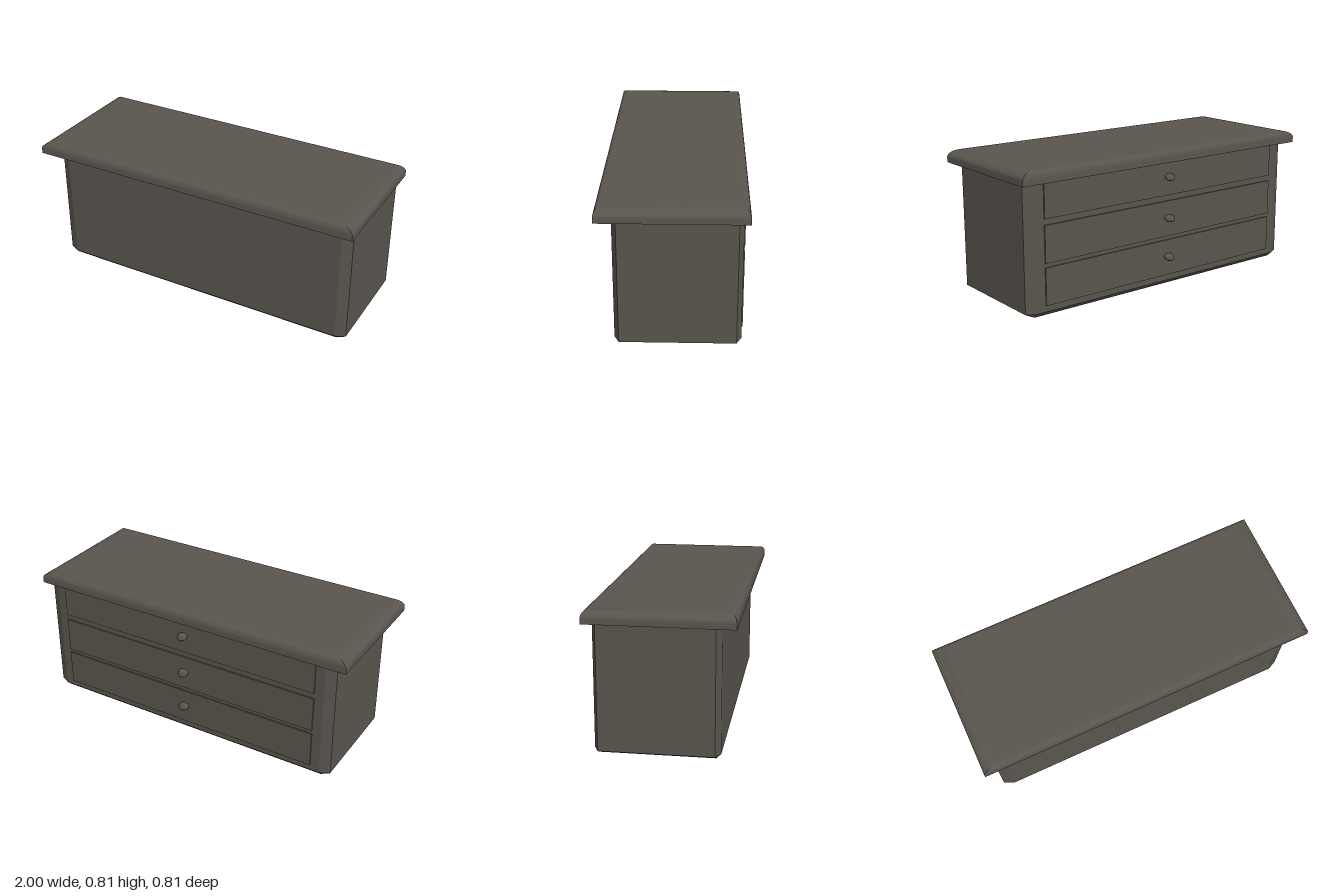
import * as THREE from 'three';
import { toCreasedNormals } from 'three/addons/utils/BufferGeometryUtils.js';

// Closed solid from stacked rectangles with cut corners.
// Each ring is [y, half width, half depth, corner cut in x, corner cut in z].
function loft(rings, crease) {
  const loops = rings.map(([y, w, d, cx, cz]) => [
    [w, d - cz], [w, cz - d], [w - cx, -d], [cx - w, -d],
    [-w, cz - d], [-w, d - cz], [cx - w, d], [w - cx, d],
  ].map(([x, z]) => new THREE.Vector3(x, y, z)));
  const pos = [];
  const tri = (a, b, c) => {
    const area = b.clone().sub(a).cross(c.clone().sub(a)).length();
    if (area > 1e-9) for (const p of [a, b, c]) pos.push(p.x, p.y, p.z);
  };
  const last = loops.length - 1;
  const bottom = new THREE.Vector3(0, rings[0][0], 0);
  const top = new THREE.Vector3(0, rings[last][0], 0);
  for (let i = 0; i < 8; i++) {
    const j = (i + 1) % 8;
    for (let k = 0; k < last; k++) {
      tri(loops[k][i], loops[k][j], loops[k + 1][j]);
      tri(loops[k][i], loops[k + 1][j], loops[k + 1][i]);
    }
    tri(bottom, loops[0][j], loops[0][i]);
    tri(top, loops[last][i], loops[last][j]);
  }
  const g = new THREE.BufferGeometry();
  g.setAttribute('position', new THREE.Float32BufferAttribute(pos, 3));
  g.computeVertexNormals();
  return crease ? toCreasedNormals(g, crease) : g;
}

// Drooping pull: a domed lathe pointing to -z, widened and bent downwards
function knobGeometry() {
  const profile = [[0.0185, -0.004], [0.0185, 0], [0.0195, 0.01], [0.0195, 0.018], [0.018, 0.025],
    [0.0145, 0.031], [0.009, 0.035], [0, 0.037]].map(([r, d]) => new THREE.Vector2(r, d));
  const g = new THREE.LatheGeometry(profile, 24);
  g.rotateX(-Math.PI / 2);
  g.scale(1.55, 1, 1);
  const p = g.attributes.position;
  for (let i = 0; i < p.count; i++) {
    const t = Math.max(0, -p.getZ(i)) / 0.037;
    p.setY(i, p.getY(i) + 0.003 - 0.01 * t * t);
  }
  g.deleteAttribute('uv');
  return toCreasedNormals(g, 0.9);
}

export function createModel() {
  const model = new THREE.Group();
  model.name = 'chestOfDrawers';
  const wood = new THREE.MeshStandardMaterial({ color: 0x59544d });
  wood.name = 'darkWood';

  const add = (name, geometry, x, y, z) => {
    const mesh = new THREE.Mesh(geometry, wood);
    mesh.name = name;
    mesh.position.set(x, y, z);
    model.add(mesh);
  };

  // Cabinet with chamfered upright and bottom edges
  const cx = 0.057, c = 0.027;
  add('cabinet', loft([
    [0, 0.95 - cx, 0.34 - c, 0, 0],
    [c, 0.95, 0.34, cx, c],
    [0.74, 0.95, 0.34, cx, c],
  ]), 0.02, 0, -0.02);

  // Overhanging top with a rounded rim
  const rim = [[0.737, 1, 0.398, 0, 0]];
  for (let i = 0; i <= 8; i++) {
    const a = (i / 8) * Math.PI / 2;
    const inset = 1 - Math.cos(a);
    rim.push([0.767 + 0.043 * Math.sin(a), 1 - 0.08 * inset, 0.398 - 0.036 * inset, 0, 0]);
  }
  rim.push([0.81, 0.918, 0.36, 0, 0]);
  add('top', loft(rim, 0.6), 0, 0, 0.007);

  // Three drawer fronts on the back side, each with a knob
  const knob = knobGeometry();
  const drawers = [[0.063, 0.275, 0.173], [0.298, 0.508, 0.406], [0.542, 0.738, 0.649]];
  drawers.forEach(([y0, y1, knobY], i) => {
    add(`drawerFront${i + 1}`, new THREE.BoxGeometry(1.675, y1 - y0, 0.02), 0.02, (y0 + y1) / 2, -0.358);
    add(`knob${i + 1}`, knob, 0.01, knobY, -0.368);
  });
  return model;
}
